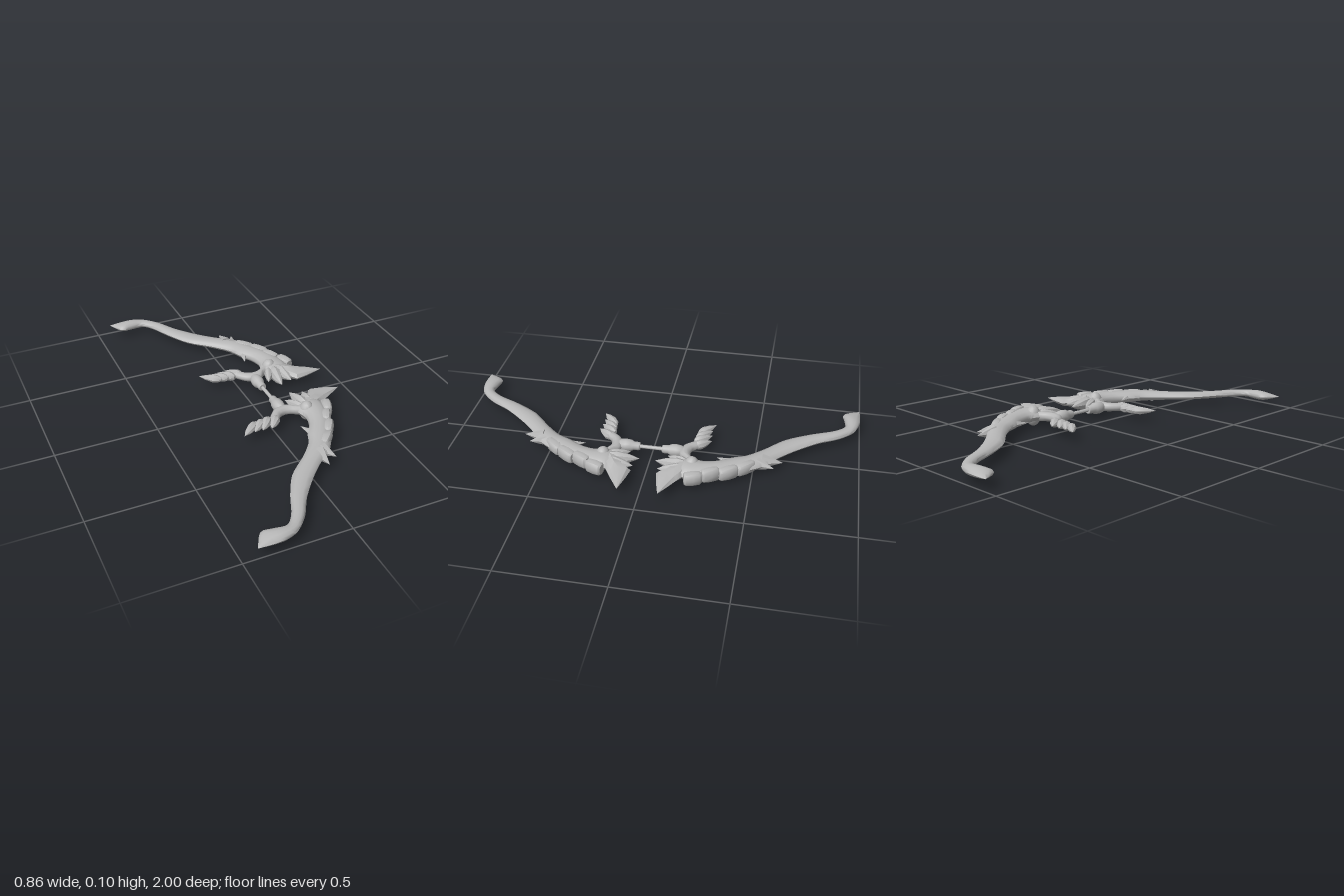
import * as THREE from 'three';
import { toCreasedNormals } from 'three/addons/utils/BufferGeometryUtils.js';

const MID = 0.05; // height of the bow's flat centre plane

// Swap two corners of every triangle
function flip(geo) {
  const a = geo.index.array;
  for (let i = 0; i < a.length; i += 3) [a[i], a[i + 1]] = [a[i + 1], a[i]];
}

// Skin through stations [innerX, innerZ, outerX, outerZ, halfThickness]; steps > 0 smooths them
function loft(stations, { sides = 10, power = 1, steps = 0 } = {}) {
  let rows = stations;
  if (steps) {
    const curve = (i) => new THREE.CatmullRomCurve3(
      stations.map((s) => new THREE.Vector3(s[i], s[4], s[i + 1])), false, 'centripetal');
    const tune = (c) => { c.curveType = 'catmullrom'; c.tension = 0.45; return c; };
    const inner = tune(curve(0)), outer = tune(curve(2));
    rows = Array.from({ length: steps + 1 }, (_, k) => {
      const p = inner.getPoint(k / steps), q = outer.getPoint(k / steps);
      return [p.x, p.z, q.x, q.z, Math.max(p.y, 0)];
    });
  }
  const pos = [], idx = [];
  const soft = (v) => Math.sign(v) * Math.abs(v) ** power;
  const mid = (r) => [(r[0] + r[2]) / 2, MID, (r[1] + r[3]) / 2];
  for (const r of rows) {
    const [cx, , cz] = mid(r);
    for (let j = 0; j < sides; j++) {
      const t = (j / sides) * Math.PI * 2, c = soft(Math.cos(t)), s = soft(Math.sin(t));
      pos.push(cx + c * (r[2] - r[0]) / 2, MID + s * r[4], cz + c * (r[3] - r[1]) / 2);
    }
  }
  const n = rows.length;
  pos.push(...mid(rows[0]), ...mid(rows[n - 1]));
  for (let j = 0; j < sides; j++) {
    const k = (j + 1) % sides, e = (n - 1) * sides;
    for (let i = 0; i < n - 1; i++) {
      const a = i * sides + j, b = i * sides + k;
      idx.push(a, b, a + sides, b, b + sides, a + sides);
    }
    idx.push(n * sides, k, j, n * sides + 1, e + j, e + k);
  }
  const geo = new THREE.BufferGeometry();
  geo.setAttribute('position', new THREE.Float32BufferAttribute(pos, 3));
  geo.setIndex(idx);
  // Make faces point outwards
  const v = (i) => new THREE.Vector3(pos[3 * i], pos[3 * i + 1] - MID, pos[3 * i + 2]);
  let volume = 0;
  for (let i = 0; i < idx.length; i += 3) volume += v(idx[i]).dot(v(idx[i + 1]).cross(v(idx[i + 2])));
  if (volume < 0) flip(geo);
  return geo;
}

// Body along a line from (x0,z0) to (x1,z1); profile rows are [along, width factor, thickness factor]
function body(x0, z0, x1, z1, width, h, profile, options) {
  const dx = x1 - x0, dz = z1 - z0, len = Math.hypot(dx, dz);
  const nx = -dz / len * width / 2, nz = dx / len * width / 2;
  return loft(profile.map(([t, w, k]) => {
    const x = x0 + dx * t, z = z0 + dz * t;
    return [x - nx * w, z - nz * w, x + nx * w, z + nz * w, h * k];
  }), options);
}
const LEAF = [[0, 0.35, 0.5], [0.15, 0.85, 0.9], [0.35, 1, 1], [0.7, 0.65, 0.6], [1, 0.01, 0.01]];
const SPIKE = [[0, 1, 1], [0.45, 0.55, 0.6], [1, 0.01, 0.01]];
const SCALE = [[0, 0.55, 0.75], [0.12, 0.85, 0.95], [0.5, 1, 1], [0.9, 0.95, 0.92], [1, 0.7, 0.75]];

export function createModel() {
  const model = new THREE.Group();
  const metal = new THREE.MeshStandardMaterial({ color: 0xb8b8b8 });
  metal.name = 'grey metal';

  function add(name, geo, crease = 0.75) {
    const mesh = new THREE.Mesh(toCreasedNormals(geo, crease), metal);
    mesh.name = name;
    model.add(mesh);
  }
  // One copy on each half of the bow
  function pair(name, geo, crease) {
    const other = geo.clone().scale(1, 1, -1);
    flip(other);
    add(name + 'Front', geo, crease);
    add(name + 'Back', other, crease);
  }

  // Long curved limb with its flared tip
  pair('limb', loft([
    [-0.43, 0.992, -0.428, 0.995, 0.001],
    [-0.385, 0.915, -0.36, 0.998, 0.018],
    [-0.335, 0.918, -0.30, 0.992, 0.023],
    [-0.27, 0.922, -0.235, 0.965, 0.018],
    [-0.22, 0.865, -0.17, 0.895, 0.018],
    [-0.17, 0.755, -0.11, 0.795, 0.018],
    [-0.10, 0.635, -0.02, 0.685, 0.019],
    [0, 0.54, 0.06, 0.605, 0.022],
    [0.07, 0.46, 0.13, 0.55, 0.026],
    [0.10, 0.395, 0.19, 0.46, 0.029],
    [0.14, 0.33, 0.245, 0.35, 0.032],
    [0.155, 0.265, 0.275, 0.26, 0.034],
    [0.14, 0.20, 0.285, 0.19, 0.035],
    [0.17, 0.14, 0.25, 0.14, 0.022],
  ], { steps: 52, sides: 12 }), 0.9);

  // Thorns on the limb
  for (const [x0, z0, x1, z1, w, h] of [
    [0.085, 0.54, 0.085, 0.638, 0.06, 0.036],
    [0.11, 0.52, 0.14, 0.60, 0.05, 0.032],
    [0.135, 0.42, 0.10, 0.322, 0.055, 0.024],
    [0.145, 0.38, 0.148, 0.322, 0.045, 0.024],
  ]) pair('thorn', body(x0, z0, x1, z1, w, h, SPIKE, { sides: 6 }), 0.4);

  // Overlapping scales on the limb's outer edge
  for (const [x0, z0, x1, z1, w, h] of [
    [0.125, 0.505, 0.19, 0.43, 0.05, 0.031],
    [0.185, 0.432, 0.235, 0.35, 0.053, 0.034],
    [0.22, 0.35, 0.26, 0.272, 0.053, 0.036],
    [0.272, 0.275, 0.298, 0.195, 0.055, 0.034],
  ]) pair('scale', body(x0, z0, x1, z1, w, h, SCALE, { sides: 12, power: 0.7 }), 0.6);

  // Forward blade
  pair('blade', loft([
    [0.20, 0.13, 0.22, 0.22, 0.034],
    [0.25, 0.10, 0.28, 0.185, 0.031],
    [0.277, 0.06, 0.315, 0.165, 0.023],
    [0.34, 0.072, 0.36, 0.138, 0.017],
    [0.425, 0.094, 0.426, 0.096, 0.001],
  ], { sides: 8 }), 0.5);

  // Short feathers beside the blade
  for (const [x0, z0, x1, z1, w, h] of [
    [0.225, 0.20, 0.242, 0.058, 0.065, 0.034],
    [0.20, 0.20, 0.18, 0.038, 0.06, 0.036],
    [0.18, 0.20, 0.13, 0.09, 0.045, 0.028],
  ]) pair('feather', body(x0, z0, x1, z1, w, h, LEAF, { sides: 8 }), 0.5);

  // Domed boss
  const boss = new THREE.SphereGeometry(1, 16, 10);
  boss.scale(0.037, 0.05, 0.037).translate(0.188, MID, 0.215);
  pair('boss', boss, 0.9);

  // Arched arm joining boss, grip and claw
  pair('arm', loft([
    [0.19, 0.245, 0.19, 0.19, 0.026],
    [0.145, 0.215, 0.14, 0.17, 0.024],
    [0.115, 0.20, 0.115, 0.145, 0.023],
    [0.085, 0.195, 0.08, 0.14, 0.023],
    [0.055, 0.205, 0.04, 0.155, 0.022],
    [0.03, 0.235, 0.01, 0.185, 0.02],
    [0, 0.265, -0.01, 0.215, 0.018],
  ], { steps: 24 }), 0.9);

  // Claw of overlapping leaves
  for (const [x0, z0, x1, z1, w, h] of [
    [0.03, 0.205, -0.03, 0.283, 0.05, 0.024],
    [-0.01, 0.20, -0.075, 0.28, 0.05, 0.024],
    [-0.045, 0.205, -0.115, 0.278, 0.046, 0.022],
    [-0.08, 0.21, -0.172, 0.287, 0.046, 0.02],
  ]) pair('clawLeaf', body(x0, z0, x1, z1, w, h, LEAF, { sides: 8 }), 0.5);

  // Turned collar at each end of the grip
  const profile = [[0, 0.055], [0.018, 0.055], [0.021, 0.063], [0.021, 0.085],
    [0.029, 0.10], [0.031, 0.125], [0.027, 0.15], [0.015, 0.17], [0, 0.172]];
  const collar = new THREE.LatheGeometry(profile.map((p) => new THREE.Vector2(...p)), 14);
  collar.rotateX(Math.PI / 2).translate(0.08, MID, 0);
  pair('collar', collar, 0.7);

  // Thin centre rod
  const rod = new THREE.CylinderGeometry(0.009, 0.009, 0.14, 12);
  rod.rotateX(Math.PI / 2).translate(0.08, MID, 0);
  add('centreRod', rod);

  return model;
}
